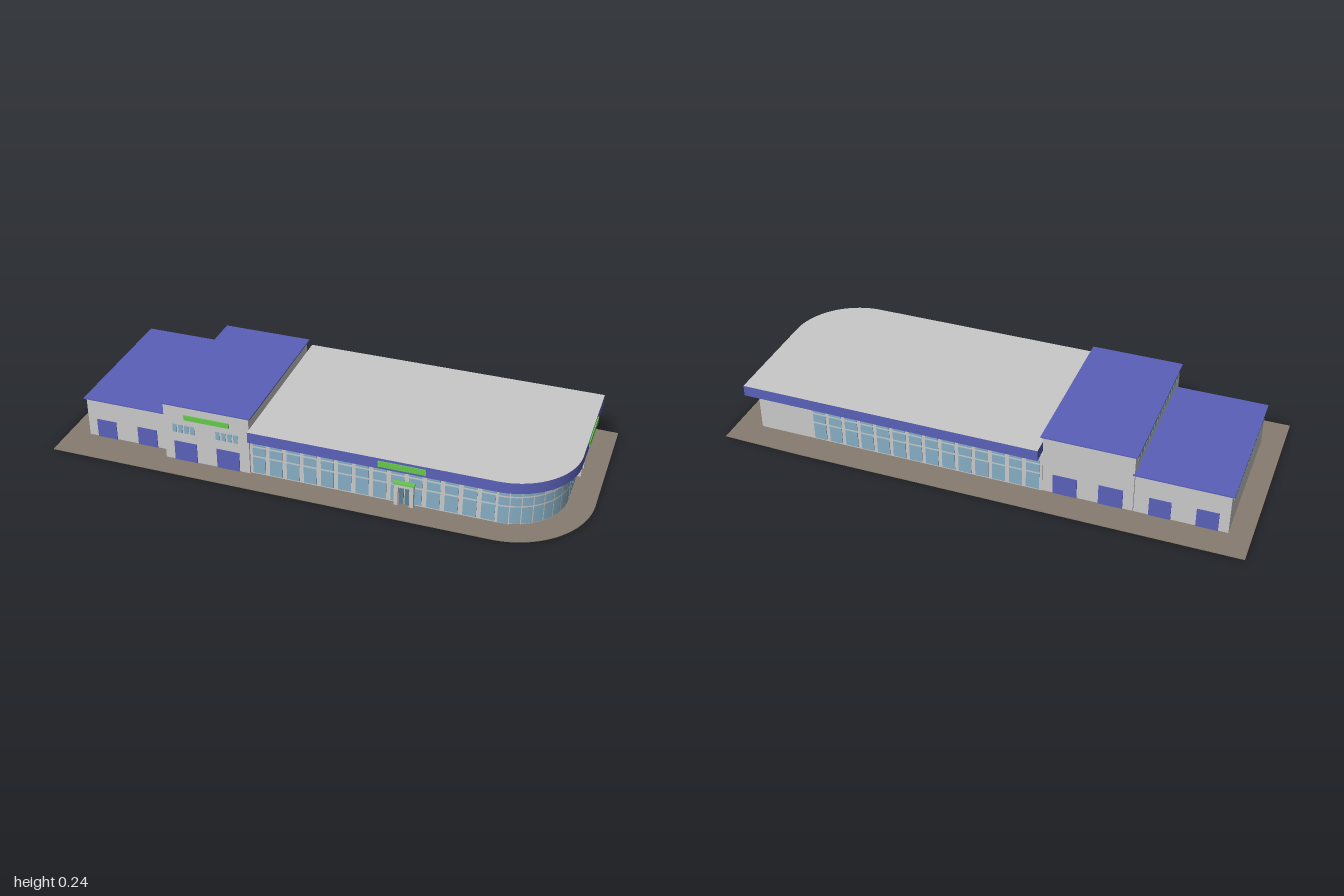
import * as THREE from 'three';

const mat = (name, color) => {
  const m = new THREE.MeshStandardMaterial({ color });
  m.name = name;
  return m;
};

export function createModel() {
  const wall = mat('light grey wall', 0xc9c9c9);
  const blue = mat('blue trim', 0x5a60b8);
  const glass = mat('window glass', 0x86adc3);
  const darkGlass = mat('door glass', 0x5f8093);
  const green = mat('green sign', 0x66c94a);
  const paving = mat('paving', 0x877c71);

  const model = new THREE.Group();
  model.name = 'showroom';
  const group = (name) => {
    const g = new THREE.Group();
    g.name = name;
    model.add(g);
    return g;
  };
  const add = (parent, name, geo, material) => {
    const m = new THREE.Mesh(geo, material);
    m.name = name;
    parent.add(m);
    return m;
  };
  const box = (parent, name, material, x0, x1, y0, y1, z0, z1) => {
    const g = new THREE.BoxGeometry(x1 - x0, y1 - y0, z1 - z0);
    g.translate((x0 + x1) / 2, (y0 + y1) / 2, (z0 + z1) / 2);
    return add(parent, name, g, material);
  };
  // Plate standing proud of a wall; u runs along x on front/back and along z on the sides
  const plate = (parent, name, material, face, at, u0, u1, y0, y1, d = 0.003) => {
    const out = face === 'front' || face === 'right';
    const a = out ? at : at - d;
    const b = out ? at + d : at;
    return face === 'front' || face === 'back'
      ? box(parent, name, material, u0, u1, y0, y1, a, b)
      : box(parent, name, material, a, b, y0, y1, u0, u1);
  };
  // Slab with one rounded front corner
  const CX = 0.69, CZ = 0.095;
  const slab = (parent, name, materials, x0, z0, r, y0, y1, slant = 0) => {
    const s = new THREE.Shape();
    s.moveTo(x0, z0);
    s.lineTo(CX, z0);
    s.lineTo(CX + r, z0 + slant);
    s.lineTo(CX + r, CZ);
    s.absarc(CX, CZ, r, 0, Math.PI / 2, false);
    s.lineTo(x0, CZ + r);
    const g = new THREE.ExtrudeGeometry(s, { depth: y1 - y0, bevelEnabled: false, curveSegments: 28 });
    g.rotateX(Math.PI / 2).translate(0, y1, 0);
    return add(parent, name, g, materials);
  };

  slab(model, 'ground', paving, -1, -0.412, 0.31, 0, 0.003, 0.007);

  // Glazed hall
  const hall = group('hall');
  const R = 0.21, front = CZ + R, right = CX + R, back = -0.3;
  slab(hall, 'hallWalls', wall, -0.235, back, R, 0.001, 0.162);
  slab(hall, 'roofAndFascia', [wall, blue], -0.228, -0.335, 0.249, 0.16, 0.203);

  const rows = [[0.009, 0.076], [0.084, 0.117], [0.125, 0.158]];
  const glaze = (face, at, u0, u1, count, gap) => {
    const pitch = (u1 - u0) / count;
    for (let i = 0; i < count; i++) {
      for (const [y0, y1] of rows) {
        plate(hall, 'windowPane', glass, face, at, u0 + i * pitch + gap / 2, u0 + (i + 1) * pitch - gap / 2, y0, y1);
      }
    }
  };
  glaze('front', front, -0.232, 0.69, 14, 0.017);
  glaze('back', back, -0.232, 0.68, 14, 0.015);
  glaze('right', right, -0.297, 0.092, 9, 0.007);

  // Curved corner glazing with transoms and mullions
  const arc = (name, material, r, y0, y1, t0 = 0, t1 = Math.PI / 2, seg = 28) => {
    const g = new THREE.CylinderGeometry(r, r, y1 - y0, seg, 1, true, t0, t1 - t0);
    g.translate(CX, (y0 + y1) / 2, CZ);
    return add(hall, name, g, material);
  };
  arc('cornerGlass', glass, R + 0.002, 0.006, 0.16);
  for (const y of [0.08, 0.12]) arc('cornerTransom', wall, R + 0.004, y - 0.003, y + 0.003);
  for (let i = 0; i <= 8; i++) {
    const t = (i / 8) * (Math.PI / 2);
    arc('cornerMullion', wall, R + 0.004, 0.004, 0.16, t - 0.008, t + 0.008, 2);
  }
  arc('cornerPanel', wall, R + 0.003, 0.123, 0.16, 0.8, 0.93, 4);

  // Entrances: portal, glass doors and canopy
  const entrance = (face, at, c) => {
    const g = group('entrance');
    plate(g, 'portalHeader', wall, face, at, c - 0.036, c + 0.036, 0.08, 0.094, 0.018);
    for (const s of [-1, 1]) {
      const a = c + s * 0.036, b = c + s * 0.021;
      plate(g, 'portalPost', wall, face, at, Math.min(a, b), Math.max(a, b), 0.003, 0.08, 0.018);
      const m = c + s * 0.0105;
      plate(g, 'doorLeaf', darkGlass, face, at, m - 0.0085, m + 0.0085, 0.004, 0.079, 0.007);
    }
    plate(g, 'doorFrame', wall, face, at, c - 0.021, c + 0.021, 0.003, 0.08, 0.005);
    plate(g, 'canopy', green, face, at, c - 0.039, c + 0.039, 0.094, 0.099, 0.022);
  };
  entrance('front', front, 0.355);
  entrance('right', right, -0.103);

  // Fascia signs
  plate(hall, 'frontSign', green, 'front', 0.344, 0.265, 0.44, 0.17, 0.193, 0.004);
  plate(hall, 'sideSign', green, 'right', 0.939, -0.194, -0.019, 0.17, 0.193, 0.004);

  // Service blocks with flat blue roofs and roller doors
  const block = (name, x0, x1, z1, h, doors, doorH) => {
    const g = group(name);
    const z0 = -0.297;
    box(g, 'walls', wall, x0, x1, 0.001, h, z0, z1);
    box(g, 'roof', blue, x0 - 0.008, x1 + 0.008, h, h + 0.005, z0 - 0.006, z1 + 0.007);
    for (const [a, b] of doors) {
      plate(g, 'rollerDoor', blue, 'front', z1, a, b, 0.003, doorH);
      plate(g, 'rollerDoor', blue, 'back', z0, a, b, 0.003, doorH);
    }
    // High window strip on the left-hand end
    const n = 16, pitch = (z1 - z0 - 0.06) / n;
    for (let i = 0; i < n; i++) {
      const u = z0 + 0.03 + i * pitch;
      plate(g, 'stripWindow', glass, 'left', x0, u + 0.004, u + pitch - 0.004, h - 0.038, h - 0.014);
    }
    return g;
  };
  block('lowBlock', -0.917, -0.575, 0.267, 0.163, [[-0.88, -0.80], [-0.71, -0.63]], 0.079);
  const tall = block('tallBlock', -0.573, -0.235, 0.312, 0.239, [[-0.535, -0.445], [-0.365, -0.275]], 0.084);
  for (const start of [-0.538, -0.366]) {
    for (let i = 0; i < 4; i++) {
      const x = start + i * 0.0235;
      plate(tall, 'upperWindow', glass, 'front', 0.312, x, x + 0.016, 0.125, 0.158);
    }
  }
  plate(tall, 'blockSign', green, 'front', 0.312, -0.49, -0.312, 0.184, 0.204, 0.005);

  return model;
}
